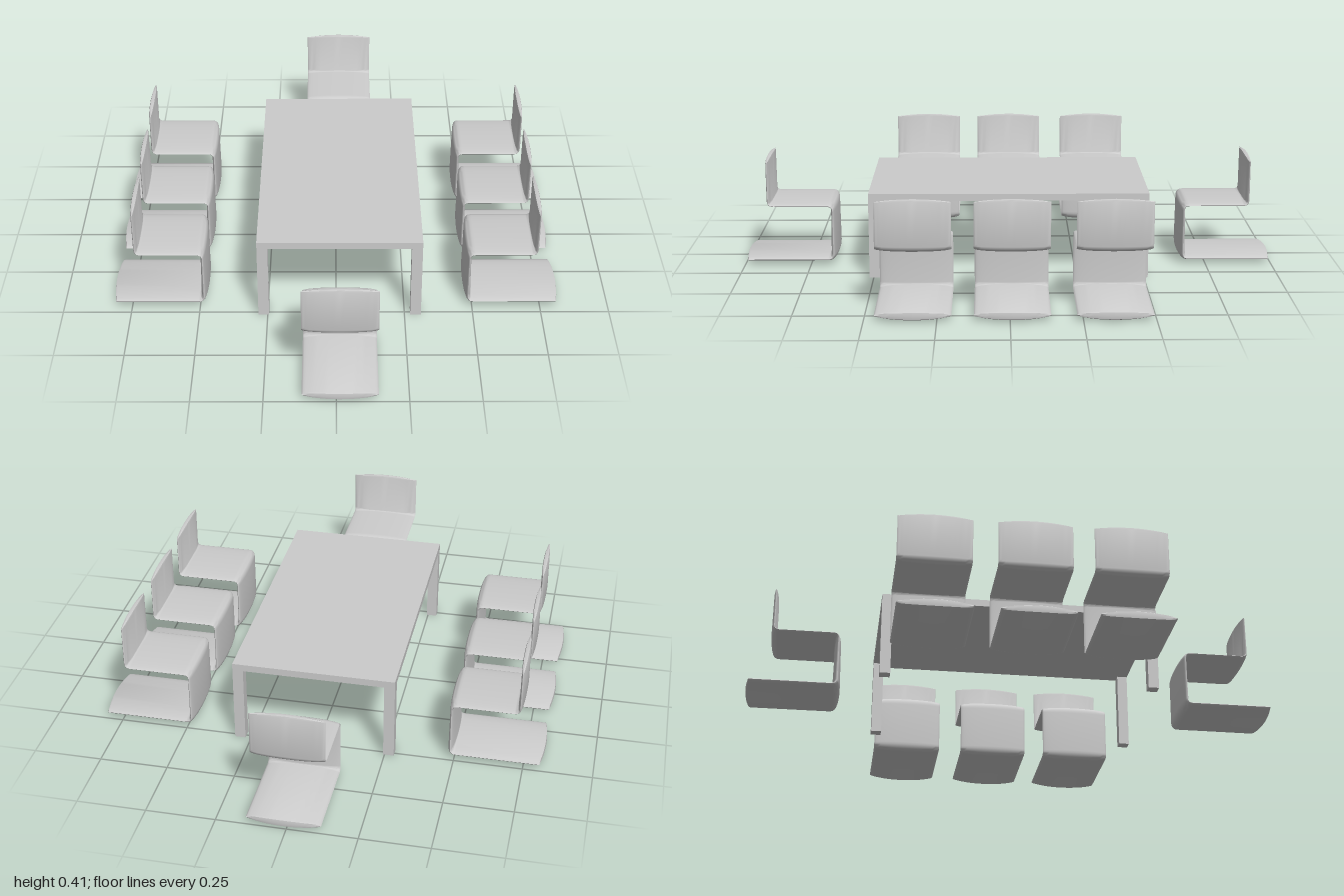
import * as THREE from 'three';
import { toCreasedNormals } from 'three/addons/utils/BufferGeometryUtils.js';

const HALF_WIDTH = 0.132;
const SIDES = 40;

// Centre line of the bent chair shell as [z, y, half thickness]; the chair faces -z
const CORNERS = [
  [0.342, 0.021, 0.016],
  [0.014, 0.021, 0.0145],
  [0.014, 0.229, 0.0115],
  [0.257, 0.229, 0.0105],
  [0.257, 0.4, 0.0095],
].map((c) => new THREE.Vector3(...c));

// Rounds the corners and returns rings of { point, tangent }
function shellPath(radius = 0.02, steps = 6) {
  const rings = [];
  const dir = (a, b) => b.clone().sub(a).setZ(0).normalize();
  const last = CORNERS.length - 1;
  rings.push({ p: CORNERS[0], t: dir(CORNERS[0], CORNERS[1]) });
  for (let i = 1; i < last; i++) {
    const before = dir(CORNERS[i - 1], CORNERS[i]);
    const after = dir(CORNERS[i], CORNERS[i + 1]);
    const bend = new THREE.QuadraticBezierCurve3(
      CORNERS[i].clone().addScaledVector(before, -radius),
      CORNERS[i],
      CORNERS[i].clone().addScaledVector(after, radius)
    );
    for (let k = 0; k <= steps; k++) {
      const s = k / steps;
      rings.push({ p: bend.getPoint(s), t: before.clone().lerp(after, s).normalize() });
    }
  }
  rings.push({ p: CORNERS[last], t: dir(CORNERS[last - 1], CORNERS[last]) });
  return rings;
}

// Sweeps a thin lens-shaped section along the path, with bowed, softly closed ends
function shellGeometry() {
  const path = shellPath();
  const first = path[0];
  const last = path[path.length - 1];
  const rings = [
    { ...first, scale: 0, out: -0.008, bow: 0.012 },
    { ...first, scale: 0.75, out: -0.006, bow: 0.012 },
    { ...first, scale: 1, out: 0, bow: 0.012 },
    ...path.slice(1, -1).map((r) => ({ ...r, scale: 1, out: 0, bow: 0 })),
    { ...last, scale: 1, out: 0, bow: -0.01 },
    { ...last, scale: 0.75, out: 0.006, bow: -0.01 },
    { ...last, scale: 0, out: 0.008, bow: -0.01 },
  ];
  const positions = [];
  const index = [];
  rings.forEach(({ p, t, scale, out, bow }, i) => {
    for (let j = 0; j < SIDES; j++) {
      const a = (j / SIDES) * Math.PI * 2;
      const across = Math.cos(a);
      const thick = p.z * scale * Math.sin(a);
      const along = out + bow * across * across;
      positions.push(
        HALF_WIDTH * across,
        p.y + t.y * along + t.x * thick,
        p.x + t.x * along - t.y * thick
      );
      if (i < rings.length - 1) {
        const k = (j + 1) % SIDES;
        const lo = i * SIDES;
        const hi = lo + SIDES;
        index.push(lo + j, lo + k, hi + k, lo + j, hi + k, hi + j);
      }
    }
  });
  const geometry = new THREE.BufferGeometry();
  geometry.setAttribute('position', new THREE.Float32BufferAttribute(positions, 3));
  geometry.setIndex(index);
  return toCreasedNormals(geometry, Math.PI / 5);
}

export function createModel() {
  const model = new THREE.Group();
  model.name = 'diningSet';
  const material = new THREE.MeshStandardMaterial({ color: 0xcccccc });
  const centreX = 0.013;

  // Table
  const table = new THREE.Group();
  table.name = 'table';
  table.position.x = centreX;
  model.add(table);
  const addBox = (name, w, h, d, x, y, z) => {
    const mesh = new THREE.Mesh(new THREE.BoxGeometry(w, h, d), material);
    mesh.name = name;
    mesh.position.set(x, y, z);
    table.add(mesh);
  };
  addBox('tableTop', 0.594, 0.026, 1.03, 0, 0.306, 0);
  for (const sx of [-1, 1]) {
    for (const sz of [-1, 1]) {
      addBox('tableLeg', 0.039, 0.295, 0.039, sx * 0.2775, 0.1475, sz * 0.4955);
    }
  }

  // Chairs: three along each side and one at each end
  const shell = shellGeometry();
  const addChair = (name, x, z, turn) => {
    const chair = new THREE.Mesh(shell, material);
    chair.name = name;
    chair.position.set(x, 0, z);
    chair.rotation.y = turn;
    model.add(chair);
  };
  for (const z of [-0.36, -0.008, 0.332]) {
    addChair('leftChair', 0.471, z, Math.PI / 2);
    addChair('rightChair', -0.471, z, -Math.PI / 2);
  }
  addChair('frontChair', centreX, 0.65, 0);
  addChair('backChair', centreX, -0.65, Math.PI);

  return model;
}
